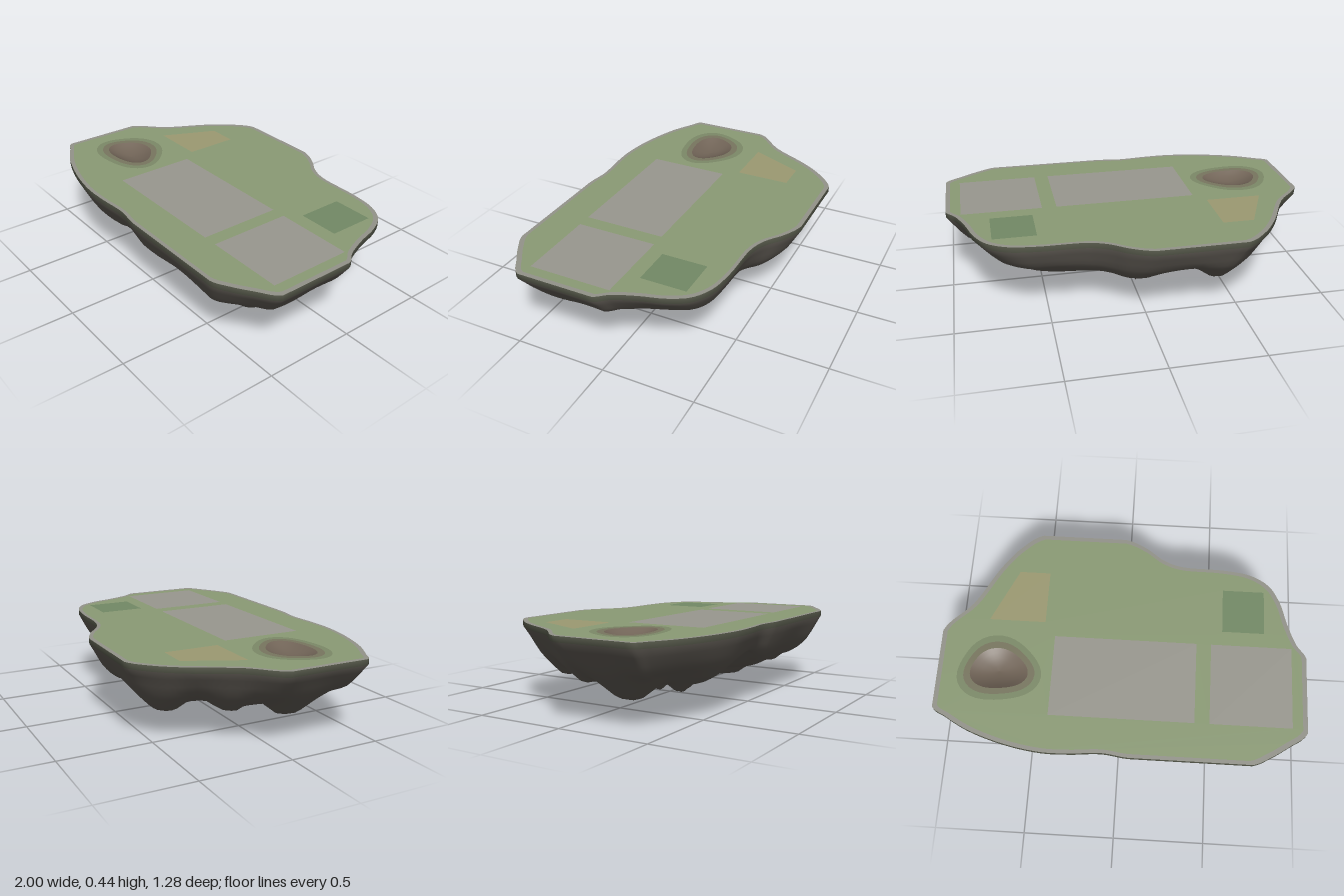
import * as THREE from 'three';

const TOP = 0.44, CZ = 0.05;
const V2 = (x, z) => new THREE.Vector2(x, z);
const { clamp } = THREE.MathUtils;

// Coastline as x, z pairs, clamped to straight edges at the extremes
const COAST = [
  [-1, -0.02], [-0.85, -0.19], [-0.72, -0.42], [-0.62, -0.55], [-0.5, -0.64], [-0.26, -0.64], [-0.02, -0.64],
  [0.1, -0.59], [0.2, -0.52], [0.3, -0.485], [0.55, -0.475], [0.7, -0.45], [0.8, -0.39], [0.86, -0.29],
  [0.9, -0.16], [0.95, -0.04], [1, 0.03], [1, 0.24], [1, 0.45], [0.9, 0.53], [0.8, 0.595], [0.71, 0.637],
  [0.4, 0.637], [0.06, 0.637], [-0.08, 0.62], [-0.25, 0.632], [-0.4, 0.633], [-0.6, 0.6], [-0.8, 0.535],
  [-0.93, 0.465], [-1, 0.42], [-1, 0.2],
];

// Rock tips below: x, z, height, flat radius, slope
const TIPS = [
  [-0.02, -0.15, 0, 0, 1.5], [-0.02, -0.26, 0.09, 0.01, 0.9], [0.42, 0.16, 0.067, 0.06, 0.7],
  [-0.31, 0.12, 0.075, 0.01, 0.9], [-0.66, 0.18, 0.105, 0.06, 0.8], [0.2, 0.22, 0.1, 0.04, 0.8],
  [0.63, 0.32, 0.13, 0.05, 0.8], [-0.42, -0.39, 0.14, 0.06, 0.8], [-0.42, 0.32, 0.11, 0.02, 0.8],
  [0.08, 0.02, 0.11, 0.03, 0.9], [-0.6, -0.12, 0.15, 0.05, 0.8],
];

// Hollows in the underside: x, z, rise, width
const HOLLOWS = [[0.58, -0.16, 0.05, 0.2], [-0.1, 0.43, 0.1, 0.14]];

function coastline() {
  const curve = new THREE.CatmullRomCurve3(COAST.map(([x, z]) => new THREE.Vector3(x, 0, z)), true);
  return curve.getPoints(160).slice(0, -1).map(p => V2(clamp(p.x, -1, 1), clamp(p.z, -0.64, 0.637)));
}

// Height of the underside at inset s (1 = coast, 0 = centre)
const PROFILE = [[0, 0.18], [0.3, 0.17], [0.5, 0.165], [0.65, 0.175], [0.76, 0.205], [0.85, 0.25], [0.91, 0.295], [1, 0.41]];
function underHeight(x, z, s) {
  let i = 1;
  while (i < PROFILE.length - 1 && s > PROFILE[i][0]) i++;
  const [s0, y0] = PROFILE[i - 1], [s1, y1] = PROFILE[i];
  let y = y0 + (y1 - y0) * (s - s0) / (s1 - s0);
  const fade = Math.min(1, (1 - s) * 5);
  y += fade * 0.012 * (Math.sin(11 * x + 6 * z) + Math.sin(17 * z - 9 * x + 1));
  for (const [hx, hz, rise, width] of HOLLOWS) {
    y += fade * rise * Math.exp(-((x - hx) ** 2 + (z - hz) ** 2) / width ** 2);
  }
  // Tips fade out before they reach the coast
  let low = y;
  for (const [tx, tz, ty, flat, slope] of TIPS) {
    low = Math.min(low, ty + slope * Math.max(0, Math.hypot(x - tx, z - tz) - flat));
  }
  return y + (low - y) * clamp((0.95 - s) / 0.2, 0, 1);
}

function rockGeometry(coast) {
  const n = coast.length, rings = 30, pos = [], idx = [];
  const addRing = (s, height) => coast.forEach(p => {
    const x = p.x * s, z = CZ + (p.y - CZ) * s;
    pos.push(x, height ?? underHeight(x, z, s), z);
  });
  addRing(1, TOP);
  for (let r = 0; r < rings; r++) addRing(1 - r / rings);
  pos.push(0, underHeight(0, CZ, 0), CZ);

  // Pull the vertex nearest to the sharpest tip onto it
  const [tx, tz, ty] = TIPS[0];
  let best = 0, bestD = Infinity;
  for (let i = 0; i < pos.length; i += 3) {
    const d = Math.hypot(pos[i] - tx, pos[i + 2] - tz);
    if (d < bestD) { bestD = d; best = i; }
  }
  [pos[best], pos[best + 1], pos[best + 2]] = [tx, ty, tz];

  for (let r = 0; r < rings; r++) {
    for (let i = 0; i < n; i++) {
      const j = (i + 1) % n, a = r * n + i, b = r * n + j, c = a + n, d = b + n;
      idx.push(a, b, c, b, d, c);
    }
  }
  const last = rings * n, centre = last + n;
  for (let i = 0; i < n; i++) idx.push(last + i, last + (i + 1) % n, centre);

  const g = new THREE.BufferGeometry();
  g.setAttribute('position', new THREE.Float32BufferAttribute(pos, 3));
  g.setIndex(idx);
  g.computeVertexNormals();
  // The upright lip has its own material
  g.addGroup(0, n * 6, 0);
  g.addGroup(n * 6, idx.length - n * 6, 1);
  return g;
}

const rect = (x0, x1, z0, z1) => [V2(x0, z0), V2(x1, z0), V2(x1, z1), V2(x0, z1)];

// Irregular oval for the crater and the ground around it
const CRATER = V2(-0.67, 0.19);
const oval = (rx, rz) => Array.from({ length: 40 }, (_, i) => {
  const t = i / 40 * Math.PI * 2, k = 1 + 0.07 * Math.sin(3 * t + 0.5);
  return V2(CRATER.x + rx * k * Math.cos(t), CRATER.y + rz * k * Math.sin(t));
});

// Shallow bowl, sunk in rings from the pit outline
function bowlGeometry(pit) {
  const pos = [], idx = [], n = pit.length, rings = 5;
  for (let r = 0; r <= rings; r++) {
    const s = 1 - r / rings;
    pit.forEach(p => pos.push(CRATER.x + (p.x - CRATER.x) * s, TOP - 0.035 * (1 - s * s), CRATER.y + (p.y - CRATER.y) * s));
  }
  for (let r = 0; r < rings; r++) {
    for (let i = 0; i < n; i++) {
      const a = r * n + i, b = r * n + (i + 1) % n;
      idx.push(a, a + n, b, b, a + n, b + n);
    }
  }
  const g = new THREE.BufferGeometry();
  g.setAttribute('position', new THREE.Float32BufferAttribute(pos, 3));
  g.setIndex(idx);
  g.computeVertexNormals();
  return g;
}

export function createModel() {
  const group = new THREE.Group();
  const mat = color => new THREE.MeshStandardMaterial({ color });
  const add = (name, geometry, material) => {
    const mesh = new THREE.Mesh(geometry, material);
    mesh.name = name;
    group.add(mesh);
  };
  // Flat ground area with openings for the areas set into it
  const ground = (name, color, outline, holes = []) => {
    const flip = pts => pts.map(p => V2(p.x, -p.y));
    const shape = new THREE.Shape(flip(outline));
    holes.forEach(h => shape.holes.push(new THREE.Path(flip(h))));
    add(name, new THREE.ShapeGeometry(shape).rotateX(-Math.PI / 2).translate(0, TOP, 0), mat(color));
  };

  const coast = coastline();
  const inner = coast.map(p => V2(p.x * 0.975, CZ + (p.y - CZ) * 0.965));

  add('rockUnderside', rockGeometry(coast), [mat(0x5a5d4e), mat(0x625d56)]);

  // Ground areas
  const largePaving = rect(-0.38, 0.4, -0.02, 0.43);
  const smallPaving = rect(0.48, 0.92, -0.02, 0.43);
  const shrubPatch = rect(0.54, 0.77, -0.35, -0.1);
  const sandPatch = [V2(-0.75, -0.1), V2(-0.44, -0.1), V2(-0.44, -0.4), V2(-0.61, -0.4)];
  const scorchOuter = oval(0.225, 0.185), scorchInner = oval(0.19, 0.15), pit = oval(0.155, 0.115);

  ground('stoneEdge', 0x93938a, coast, [inner]);
  ground('grass', 0x8b9b75, inner, [largePaving, smallPaving, shrubPatch, sandPatch, scorchOuter]);
  ground('largePaving', 0x99988f, largePaving);
  ground('smallPaving', 0x99988f, smallPaving);
  ground('shrubPatch', 0x738a66, shrubPatch);
  ground('sandPatch', 0x9c9a72, sandPatch);
  ground('craterOuterRing', 0x7c8a68, scorchOuter, [scorchInner]);
  ground('craterInnerRing', 0x78765f, scorchInner, [pit]);
  add('craterBowl', bowlGeometry(pit), mat(0x716457));

  return group;
}
